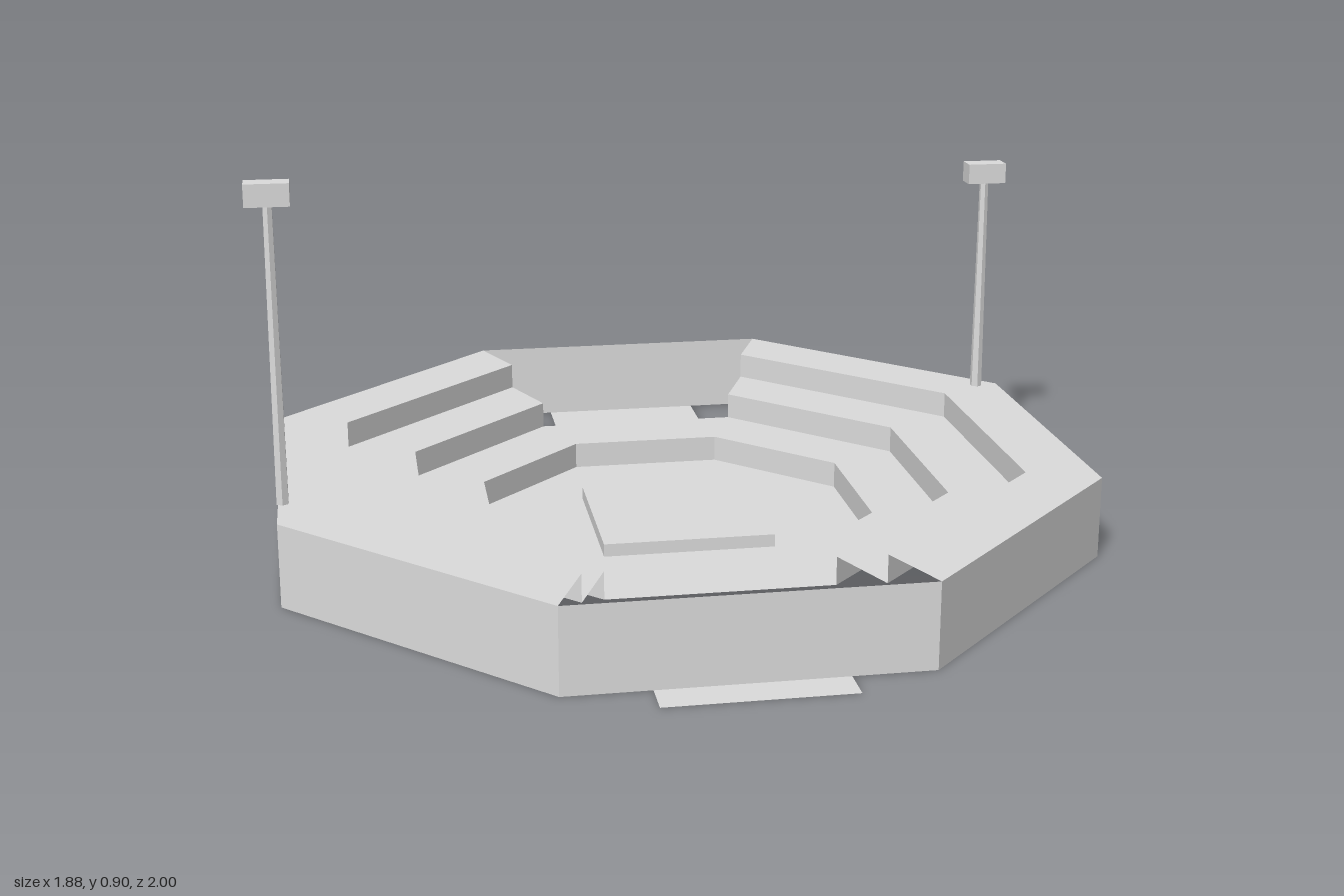
import * as THREE from 'three';

const concrete = new THREE.MeshStandardMaterial({ color: 0xdcdcdc, side: THREE.DoubleSide });
concrete.name = 'light grey';

const CX = 0.016; // the bowl sits slightly off the overall centre

function add(group, name, geometry, x = 0, y = 0, z = 0) {
  const mesh = new THREE.Mesh(geometry, concrete);
  mesh.name = name;
  mesh.position.set(x, y, z);
  group.add(mesh);
  return mesh;
}

// Octagonal strip from an inner edge (apothem, height) to an outer edge.
// With openEnds the front and back sides are left out as entrances.
function octagonBand(a0, y0, a1, y1, openEnds = false) {
  const corner = (a, y, k) => {
    const t = Math.PI / 8 + k * Math.PI / 4;
    const r = a / Math.cos(Math.PI / 8);
    return [r * Math.cos(t), y, r * Math.sin(t)];
  };
  const points = [];
  for (let k = 0; k < 8; k++) {
    if (openEnds && k % 4 === 1) continue;
    const i0 = corner(a0, y0, k), i1 = corner(a0, y0, k + 1);
    const o0 = corner(a1, y1, k), o1 = corner(a1, y1, k + 1);
    if (a0 > 0) points.push(...i0, ...i1, ...o1);
    points.push(...i0, ...o1, ...o0);
  }
  const g = new THREE.BufferGeometry();
  g.setAttribute('position', new THREE.Float32BufferAttribute(points, 3));
  g.computeVertexNormals();
  return g;
}

// Thin pole with a box lamp on top
function lightMast(name, x, z, lampBottom) {
  const mast = new THREE.Group();
  mast.name = name;
  mast.position.set(x, 0, z);
  const base = 0.19, h = lampBottom - base;
  const pole = new THREE.CylinderGeometry(0.011, 0.015, h, 6).toNonIndexed();
  pole.computeVertexNormals();
  add(mast, 'pole', pole, 0, base + h / 2, 0);
  add(mast, 'lamp', new THREE.BoxGeometry(0.096, 0.05, 0.05), 0, lampBottom + 0.025, 0);
  return mast;
}

export function createModel() {
  const model = new THREE.Group();
  model.name = 'arena';

  // Stepped octagonal bowl
  const bowl = new THREE.Group();
  bowl.name = 'bowl';
  bowl.position.x = CX;
  model.add(bowl);
  const h = [0, 0.063, 0.127, 0.19];
  const a = [0.44, 0.602, 0.763, 0.921];
  add(bowl, 'floor', octagonBand(0, 0, a[0], 0));
  for (let i = 0; i < 3; i++) {
    const open = i > 0;
    add(bowl, 'riser' + (i + 1), octagonBand(a[i], h[i], a[i], h[i + 1], open));
    add(bowl, 'tread' + (i + 1), octagonBand(a[i], h[i + 1], a[i + 1], h[i + 1], open));
  }
  add(bowl, 'outerWall', octagonBand(a[3], h[3], a[3], 0));

  // Raised square stage
  add(model, 'stage', new THREE.BoxGeometry(0.4, 0.03, 0.4), 0.02, 0.015, 0);

  // Flat entrance pads, front and back
  for (const s of [1, -1]) {
    const pad = new THREE.PlaneGeometry(0.4, 0.345).rotateX(-Math.PI / 2);
    add(model, s > 0 ? 'frontPad' : 'backPad', pad, 0.02, 0, s * 0.8275);
  }

  // Two light masts on the rim
  model.add(lightMast('tallMast', -0.895, 0.25, 0.855));
  model.add(lightMast('shortMast', 0.881, -0.377, 0.73));

  return model;
}
